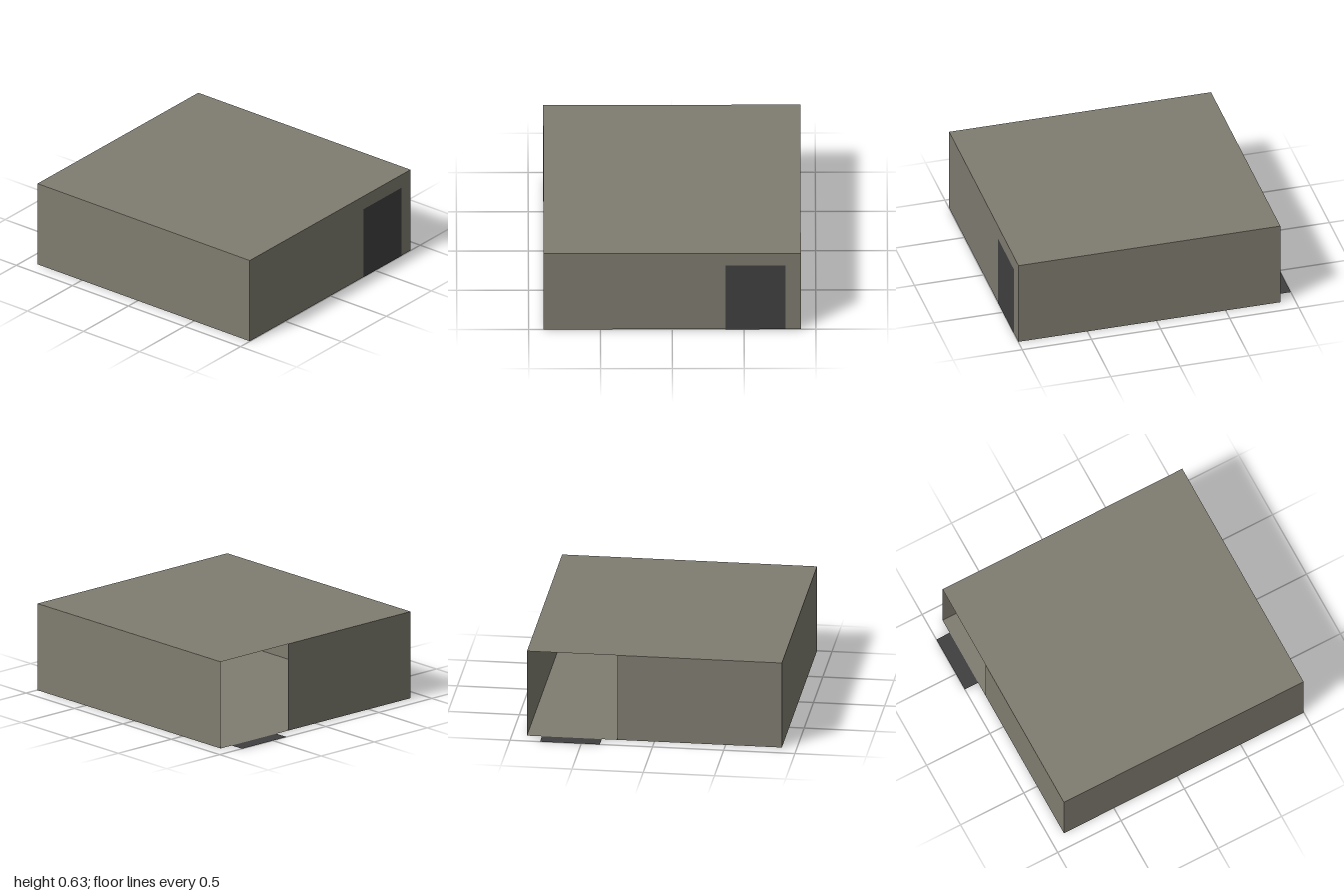
import * as THREE from 'three';

export function createModel() {
  const group = new THREE.Group();
  group.name = 'building';

  const stone = new THREE.MeshStandardMaterial({ color: 0x7f7c70, side: THREE.DoubleSide });
  stone.name = 'stone grey';
  const dark = new THREE.MeshStandardMaterial({ color: 0x404040, side: THREE.DoubleSide });
  dark.name = 'dark grey';

  // Extents of the hollow shell
  const X = 0.895, H = 0.63, BACK = -0.895, FRONT = 0.998;
  const depth = FRONT - BACK, midZ = (FRONT + BACK) / 2;
  const openingX = 0.26;            // the back wall stops here, leaving a full-height opening
  const doorX0 = 0.37, doorX1 = 0.79;

  // Flat sheet: size, centre and rotation
  function sheet(name, material, w, h, [x, y, z], rx = 0, ry = 0) {
    const mesh = new THREE.Mesh(new THREE.PlaneGeometry(w, h), material);
    mesh.name = name;
    mesh.position.set(x, y, z);
    mesh.rotation.set(rx, ry, 0);
    group.add(mesh);
  }

  // Floor, roof and walls
  sheet('floor', stone, 2 * X, depth, [0, 0, midZ], Math.PI / 2);
  sheet('roof', stone, 2 * X, depth, [0, H, midZ], -Math.PI / 2);
  sheet('frontWall', stone, 2 * X, H, [0, H / 2, FRONT]);
  sheet('leftWall', stone, depth, H, [X, H / 2, midZ], 0, Math.PI / 2);
  sheet('rightWall', stone, depth, H, [-X, H / 2, midZ], 0, -Math.PI / 2);
  sheet('backWall', stone, openingX + X, H, [(openingX - X) / 2, H / 2, BACK], 0, Math.PI);

  // Door on the front, and doorstep outside the back opening
  const doorX = (doorX0 + doorX1) / 2, doorW = doorX1 - doorX0;
  sheet('door', dark, doorW, 0.53, [doorX, 0.265, 1]);
  sheet('doorstep', dark, doorW, 1 + BACK, [doorX, 0, (BACK - 1) / 2], -Math.PI / 2);

  return group;
}
